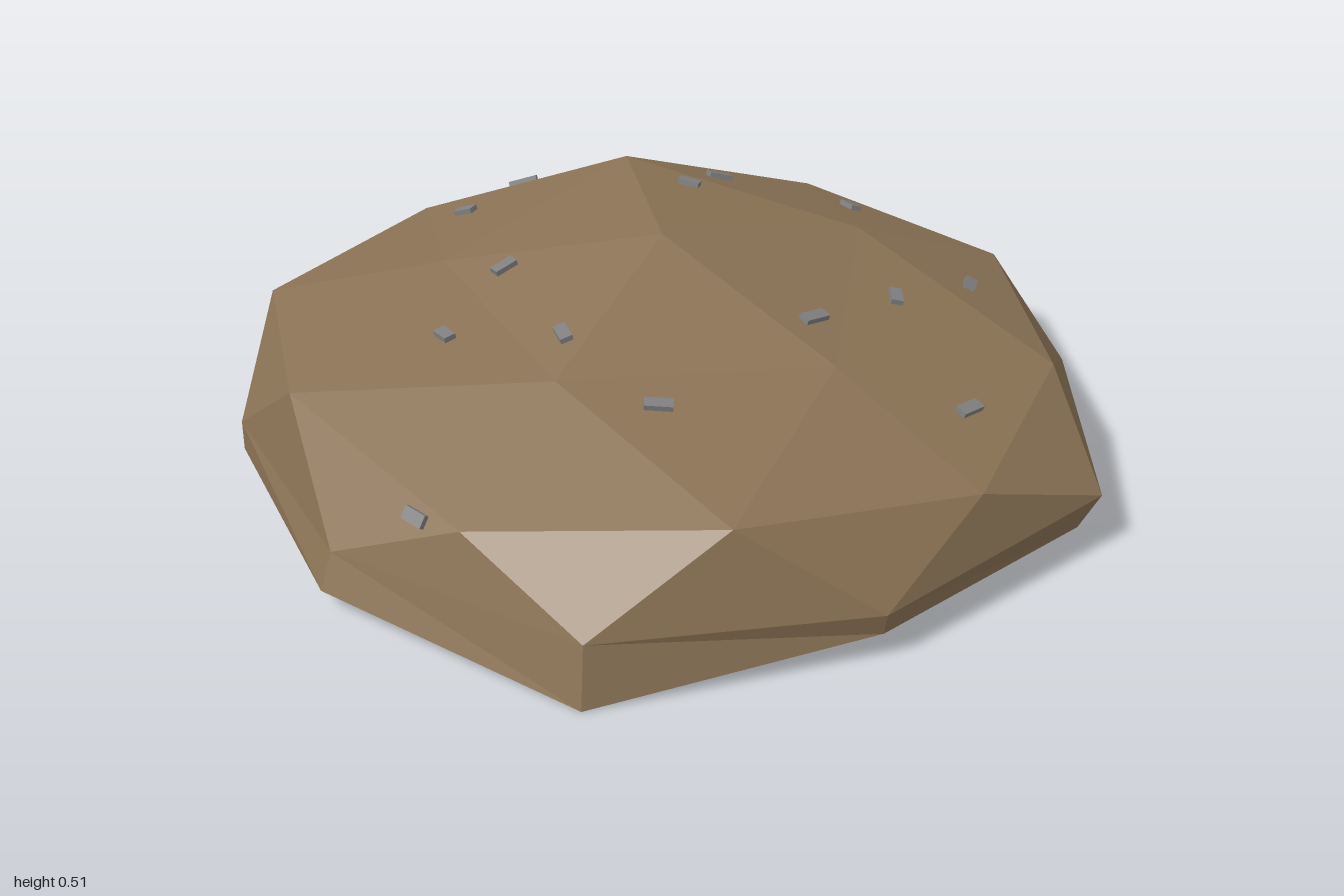
import * as THREE from 'three';

const crown = [0, 0.51, 0.04];
// Rings run clockwise seen from above, starting at +x
const upperRing = [[0.51, 0.41, 0.04], [0.16, 0.38, 0.52], [-0.4, 0.4, 0.34], [-0.4, 0.4, -0.26], [0.15, 0.47, -0.44]];
const shoulderRing = [
  [0.9, 0.25, 0.04], [0.68, 0.28, 0.58], [0.28, 0.25, 0.9], [-0.27, 0.31, 0.86], [-0.71, 0.26, 0.56],
  [-0.87, 0.34, 0.04], [-0.73, 0.29, -0.5], [-0.25, 0.285, -0.75], [0.27, 0.28, -0.8], [0.68, 0.27, -0.47],
];
const rimRing = [
  [0.905, 0.105, 0.33], [0.61, 0.13, 0.87], [0, 0.11, 1], [-0.58, 0.13, 0.84], [-0.9, 0.13, 0.33],
  [-0.9, 0.12, -0.25], [-0.55, 0.12, -0.72], [0, 0.16, -1], [0.56, 0.115, -0.72], [0.9, 0.105, -0.25],
];
const footRing = [
  [0.93, 0.01, 0.34], [0.57, 0.05, 0.85], [0, 0.06, 0.99], [-0.6, 0, 0.87], [-0.93, 0.05, 0.34],
  [-0.9, 0.05, -0.25], [-0.55, 0.065, -0.72], [0, 0.05, -0.93], [0.55, 0.065, -0.72], [0.9, 0.05, -0.25],
];

function moundGeometry() {
  const pos = [];
  const tri = (a, b, c) => pos.push(...a, ...b, ...c);
  // Crown facets and the first band
  for (let k = 0; k < 5; k++) {
    const a = upperRing[k], b = upperRing[(k + 1) % 5];
    const before = shoulderRing[(2 * k + 9) % 10], at = shoulderRing[2 * k], after = shoulderRing[2 * k + 1];
    tri(crown, b, a);
    tri(a, after, at);
    tri(a, at, before);
    tri(a, b, after);
  }
  // Sloping sides, short skirt and flat underside
  for (let i = 0; i < 10; i++) {
    const j = (i + 1) % 10;
    tri(shoulderRing[i], shoulderRing[j], rimRing[i]);
    tri(shoulderRing[j], rimRing[j], rimRing[i]);
    tri(rimRing[i], rimRing[j], footRing[i]);
    tri(rimRing[j], footRing[j], footRing[i]);
    tri([0, 0.04, 0], footRing[i], footRing[j]);
  }
  const geo = new THREE.BufferGeometry();
  geo.setAttribute('position', new THREE.Float32BufferAttribute(pos, 3));
  geo.computeVertexNormals();
  return geo;
}

// x, z, heading in degrees, length
const pebbles = [
  [0.01, -0.74, -28, 0.07], [-0.22, -0.56, -55, 0.05], [0.35, -0.34, -8, 0.06], [0.22, -0.25, -45, 0.05],
  [0.65, -0.22, 88, 0.055], [-0.31, -0.12, 8, 0.055], [-0.52, 0.04, -80, 0.045], [-0.32, 0.21, 82, 0.055],
  [-0.76, 0.46, -70, 0.055], [-0.24, 0.49, -28, 0.06], [0.2, 0.36, 12, 0.065], [0.44, 0.31, 65, 0.05],
  [0.68, 0.25, 50, 0.055], [0.39, 0.68, 14, 0.06],
];

export function createModel() {
  const group = new THREE.Group();
  group.name = 'dirtMound';

  const mound = new THREE.Mesh(
    moundGeometry(),
    new THREE.MeshStandardMaterial({ color: 0x8b7355, flatShading: true }),
  );
  mound.name = 'mound';
  group.add(mound);

  // Small stones resting on the facets below them
  const stones = new THREE.Group();
  stones.name = 'pebbles';
  const stoneMaterial = new THREE.MeshStandardMaterial({ color: 0x808080, flatShading: true });
  const up = new THREE.Vector3(0, 1, 0);
  const ray = new THREE.Raycaster();
  for (const [x, z, heading, length] of pebbles) {
    ray.set(new THREE.Vector3(x, 2, z), new THREE.Vector3(0, -1, 0));
    const hit = ray.intersectObject(mound)[0];
    if (!hit) continue;
    const stone = new THREE.Mesh(new THREE.BoxGeometry(length, 0.024, 0.028), stoneMaterial);
    stone.name = 'pebble';
    stone.position.copy(hit.point);
    stone.quaternion.setFromUnitVectors(up, hit.face.normal);
    stone.rotateY(THREE.MathUtils.degToRad(heading));
    stones.add(stone);
  }
  group.add(stones);
  return group;
}
